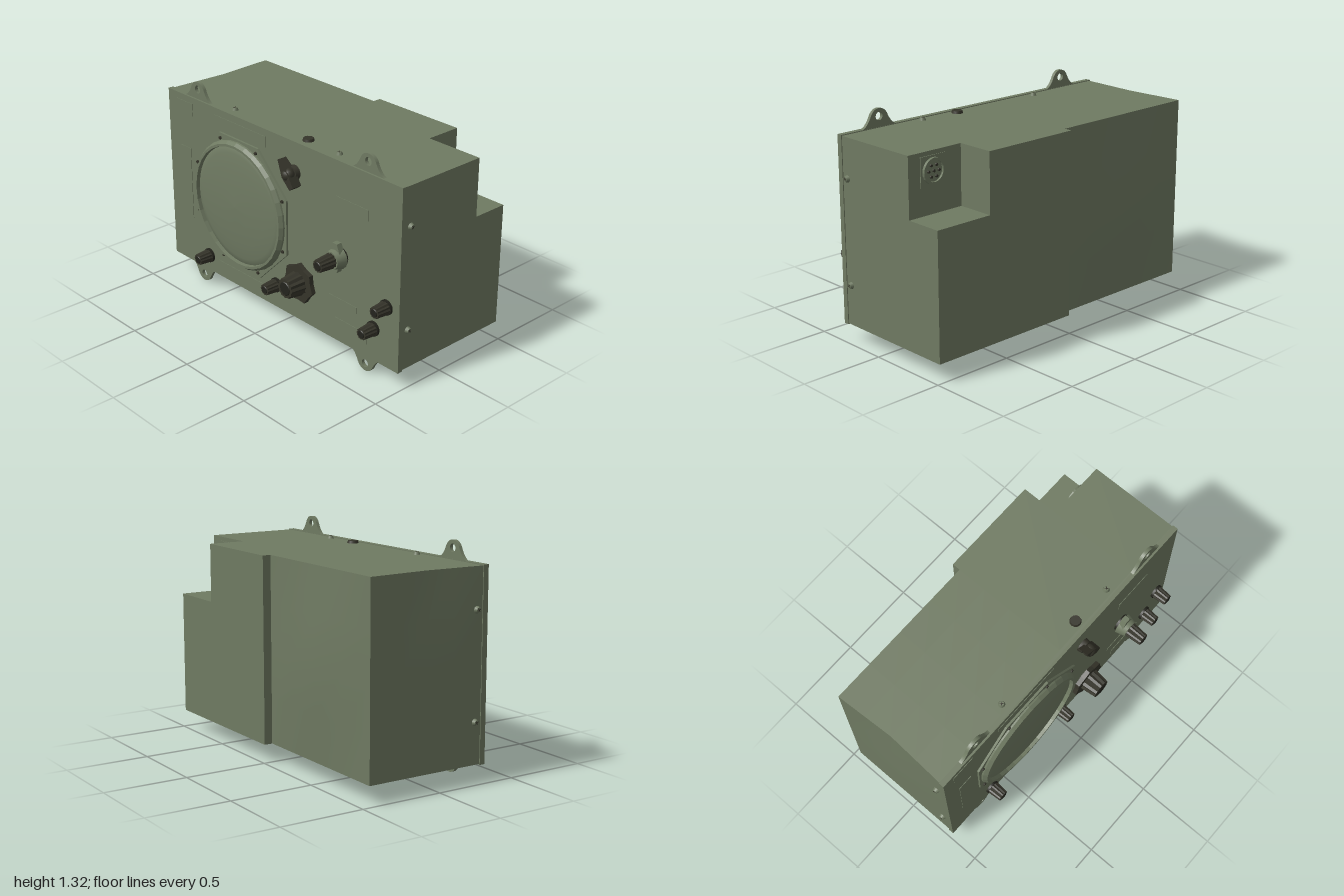
import * as THREE from 'three';

const mat = (name, color) => Object.assign(new THREE.MeshStandardMaterial({ color }), { name });

export function createModel() {
  const olive = mat('olive paint', 0x6f7a62);
  const dark = mat('dark knob', 0x35342a);
  const black = mat('black cap', 0x24241d);
  const root = new THREE.Group();
  root.name = 'radarIndicator';

  const add = (name, geo, material, x = 0, y = 0, z = 0, parent = root) => {
    const m = new THREE.Mesh(geo, material);
    m.name = name;
    m.position.set(x, y, z);
    parent.add(m);
    return m;
  };
  const box = (name, x0, x1, y0, y1, z0, z1, material = olive) =>
    add(name, new THREE.BoxGeometry(x1 - x0, y1 - y0, z1 - z0), material,
      (x0 + x1) / 2, (y0 + y1) / 2, (z0 + z1) / 2);
  const flat = (g) => {
    const f = g.index ? g.toNonIndexed() : g;
    f.computeVertexNormals();
    return f;
  };
  // Cylinder pointing to +z with its base at z = 0
  const disc = (rBase, rTop, h, sides) =>
    new THREE.CylinderGeometry(rTop, rBase, h, sides).rotateX(Math.PI / 2).translate(0, 0, h / 2);
  const extrude = (shape, depth) =>
    new THREE.ExtrudeGeometry(shape, { depth, bevelEnabled: false, curveSegments: 10 });
  const polygon = (n, r, turn = 0, wave = 1) => new THREE.Shape(
    Array.from({ length: n }, (_, i) => {
      const a = turn + (i * 2 * Math.PI) / n, q = i % 2 ? r * wave : r;
      return new THREE.Vector2(q * Math.cos(a), q * Math.sin(a));
    }));
  const circleHole = (r) => new THREE.Path().absarc(0, 0, r, 0, Math.PI * 2, true);

  // Case, right half, with a slightly pushed-out back and a dented top edge
  const half = new THREE.BoxGeometry(0.98, 1.095, 0.73, 4, 4, 4);
  const p = half.attributes.position;
  for (let i = 0; i < p.count; i++) {
    const x = p.getX(i), y = p.getY(i), z = p.getZ(i);
    if (z < -0.36) p.setZ(i, z - 0.04 * (1 - Math.abs(x) / 0.49) * (1 - Math.abs(y) / 0.5475));
    if (x < -0.48 && y > 0) p.setX(i, x + 0.02 * (y / 0.5475) * (1 - Math.abs(z) / 0.365));
  }
  half.computeVertexNormals();
  add('caseRight', half, olive, -0.49, 0.6575, -0.08);

  // Case, left half, with the upper rear corner notched
  box('caseLeft', 0, 0.615, 0.11, 1.205, -0.495, 0.285);
  const profile = new THREE.Shape([[-0.285, 0.11], [0.495, 0.11], [0.495, 0.855],
    [0.27, 0.855], [0.27, 1.205], [-0.285, 1.205]].map(([a, b]) => new THREE.Vector2(a, b)));
  add('caseNotchedCorner', extrude(profile, 0.365).rotateY(Math.PI / 2), olive, 0.615);

  // Front panel and its raised label plates
  box('frontPanel', -0.985, 0.985, 0.105, 1.21, 0.285, 0.318);
  for (const [x0, x1, y0, y1] of [[-0.55, -0.09, 1.1, 1.165], [-0.55, -0.09, 0.165, 0.21],
    [-0.88, -0.785, 0.41, 0.875], [-0.91, -0.755, 1.09, 1.17], [0.49, 0.74, 0.935, 1.0],
    [0.44, 0.66, 0.34, 0.38], [0.49, 0.74, 0.18, 0.25]])
    box('labelPlate', x0, x1, y0, y1, 0.317, 0.321);

  // Mounting ears
  const ear = new THREE.Shape();
  ear.moveTo(-0.13, -0.08);
  ear.lineTo(0.13, -0.08);
  ear.lineTo(0.115, -0.06);
  ear.quadraticCurveTo(0.08, -0.045, 0.055, 0.012);
  ear.quadraticCurveTo(0.035, 0.045, 0, 0.045);
  ear.quadraticCurveTo(-0.035, 0.045, -0.055, 0.012);
  ear.quadraticCurveTo(-0.08, -0.045, -0.115, -0.06);
  ear.holes.push(circleHole(0.024));
  const earGeo = extrude(ear, 0.02);
  for (const x of [-0.715, 0.72]) {
    add('upperEar', earGeo, olive, x, 1.27, 0.286);
    add('lowerEar', earGeo, olive, x, 0.045, 0.286).rotation.z = Math.PI;
  }

  // Display bezel, bolts and bulging screen
  const scope = new THREE.Group();
  scope.name = 'display';
  scope.position.set(-0.32, 0.66, 0.316);
  root.add(scope);
  const oct = polygon(8, 0.449, Math.PI / 8);
  oct.holes.push(circleHole(0.36));
  add('octagonBezel', extrude(oct, 0.015), olive, 0, 0, 0, scope);
  const ring = [[0.365, 0], [0.405, 0], [0.4, 0.025], [0.385, 0.046], [0.37, 0.046], [0.365, 0]]
    .map(([r, z]) => new THREE.Vector2(r, z));
  add('bezelRing', flat(new THREE.LatheGeometry(ring, 32).rotateX(Math.PI / 2)), olive, 0, 0, 0, scope);
  const dome = [[0.375, 0.012], [0.365, 0.024], [0.33, 0.032], [0.25, 0.042], [0.13, 0.05], [0, 0.053]]
    .map(([r, z]) => new THREE.Vector2(r, z));
  add('screen', new THREE.LatheGeometry(dome, 48).rotateX(Math.PI / 2), olive, 0, 0, 0, scope);
  for (let i = 0; i < 8; i++) {
    const a = Math.PI / 8 + (i * Math.PI) / 4;
    add('bezelBolt', disc(0.011, 0.009, 0.01, 8), dark, 0.415 * Math.cos(a), 0.415 * Math.sin(a), 0.014, scope);
  }

  // Fluted, tapered knobs
  const fluted = (rBase, rTop, h) => {
    const n = 24, g = disc(rBase, rTop, h, n), q = g.attributes.position;
    for (let i = 0; i < q.count; i++) {
      const k = Math.round(Math.atan2(q.getY(i), q.getX(i)) / ((2 * Math.PI) / n));
      if (k % 2) q.setXY(i, q.getX(i) * 0.88, q.getY(i) * 0.88);
    }
    return flat(g);
  };
  const knob = (name, x, y, z, r, h) => {
    const g = new THREE.Group();
    g.name = name;
    g.position.set(x, y, z);
    root.add(g);
    add('grip', fluted(r, r * 0.82, h), dark, 0, 0, 0, g);
    add('cap', disc(r * 0.6, r * 0.5, 0.006, 16), black, 0, 0, h - 0.002, g);
    return g;
  };
  for (const [x, y] of [[-0.635, 0.21], [-0.008, 0.255], [0.795, 0.308], [0.89, 0.48]]) {
    const g = knob('smallKnob', x, y, 0.317, 0.042, 0.097);
    add('collar', disc(0.045, 0.045, 0.015, 16), black, 0, 0, 0, g);
  }

  // Large knob on a lobed skirt
  const big = knob('largeKnob', 0.22, 0.37, 0.345, 0.075, 0.11);
  add('lobedSkirt', extrude(polygon(14, 0.123, Math.PI / 2, 0.86), 0.028), dark, 0, 0, -0.015, big);
  add('shaft', disc(0.06, 0.06, 0.03, 16), dark, 0, 0, -0.028, big);

  // Selector knob with olive pointer skirt
  const sel = knob('selectorKnob', 0.535, 0.65, 0.39, 0.046, 0.105);
  add('skirt', disc(0.068, 0.052, 0.06, 12), olive, 0, 0, -0.055, sel);
  add('collar', disc(0.055, 0.055, 0.025, 16), black, 0, 0, -0.073, sel);
  const pointer = new THREE.Shape([[-0.045, 0.03], [0.045, 0.03], [0.018, 0.095], [-0.018, 0.095]]
    .map(([a, b]) => new THREE.Vector2(a, b)));
  add('pointer', extrude(pointer, 0.035), olive, 0, 0, -0.055, sel);
  add('tail', extrude(pointer, 0.035), olive, 0, 0.016, -0.055, sel).rotation.z = Math.PI;

  // Bar-shaped switch knob
  const bar = new THREE.Group();
  bar.name = 'barSwitch';
  bar.position.set(0.16, 1.03, 0.317);
  bar.rotation.z = 0.66;
  root.add(bar);
  const lever = new THREE.Shape([[-0.016, -0.085], [0.02, -0.085], [0.03, 0], [0.004, 0.098], [-0.03, 0]]
    .map(([a, b]) => new THREE.Vector2(a, b)));
  add('lever', extrude(lever, 0.062), dark, 0, 0, 0.018, bar);
  add('base', disc(0.045, 0.04, 0.03, 12), dark, 0, 0, 0, bar);
  add('hub', new THREE.SphereGeometry(0.038, 16, 10), dark, 0, 0, 0.053, bar);

  // Case screws: round heads with a cross slot
  const screw = (x, y, z, rx, ry) => {
    const g = new THREE.Group();
    g.name = 'caseScrew';
    g.position.set(x, y, z);
    g.rotation.set(rx, ry, 0);
    root.add(g);
    add('head', disc(0.021, 0.014, 0.018, 12), olive, 0, 0, 0, g);
    for (const a of [0, Math.PI / 2])
      add('slot', new THREE.BoxGeometry(0.022, 0.004, 0.002), dark, 0, 0, 0.018, g).rotation.z = a + 0.6;
  };
  for (const s of [-1, 1]) {
    for (const y of [0.35, 0.97]) screw(s * 0.98, y, 0.248, 0, (s * Math.PI) / 2);
    for (const x of [-0.44, 0.44]) screw(x, s > 0 ? 1.203 : 0.112, 0.248, (-s * Math.PI) / 2, 0);
  }
  add('topPlug', new THREE.CylinderGeometry(0.03, 0.036, 0.02, 12), dark, 0.185, 1.21, 0.24);

  // Connector set in the notch
  const plug = new THREE.Group();
  plug.name = 'rearConnector';
  plug.position.set(0.815, 1.095, -0.269);
  plug.rotation.y = Math.PI;
  root.add(plug);
  add('flange', new THREE.BoxGeometry(0.17, 0.17, 0.008), olive, 0, 0, 0.002, plug);
  const shell = polygon(24, 0.074);
  shell.holes.push(circleHole(0.06));
  add('shell', extrude(shell, 0.022), olive, 0, 0, 0, plug);
  add('insert', disc(0.06, 0.06, 0.009, 24), olive, 0, 0, 0, plug);
  for (let i = 0; i < 7; i++) {
    const r = i ? 0.036 : 0, a = (i * Math.PI) / 3;
    add('pin', disc(0.009, 0.008, 0.018, 8), dark, r * Math.cos(a), r * Math.sin(a), 0, plug);
  }
  return root;
}
